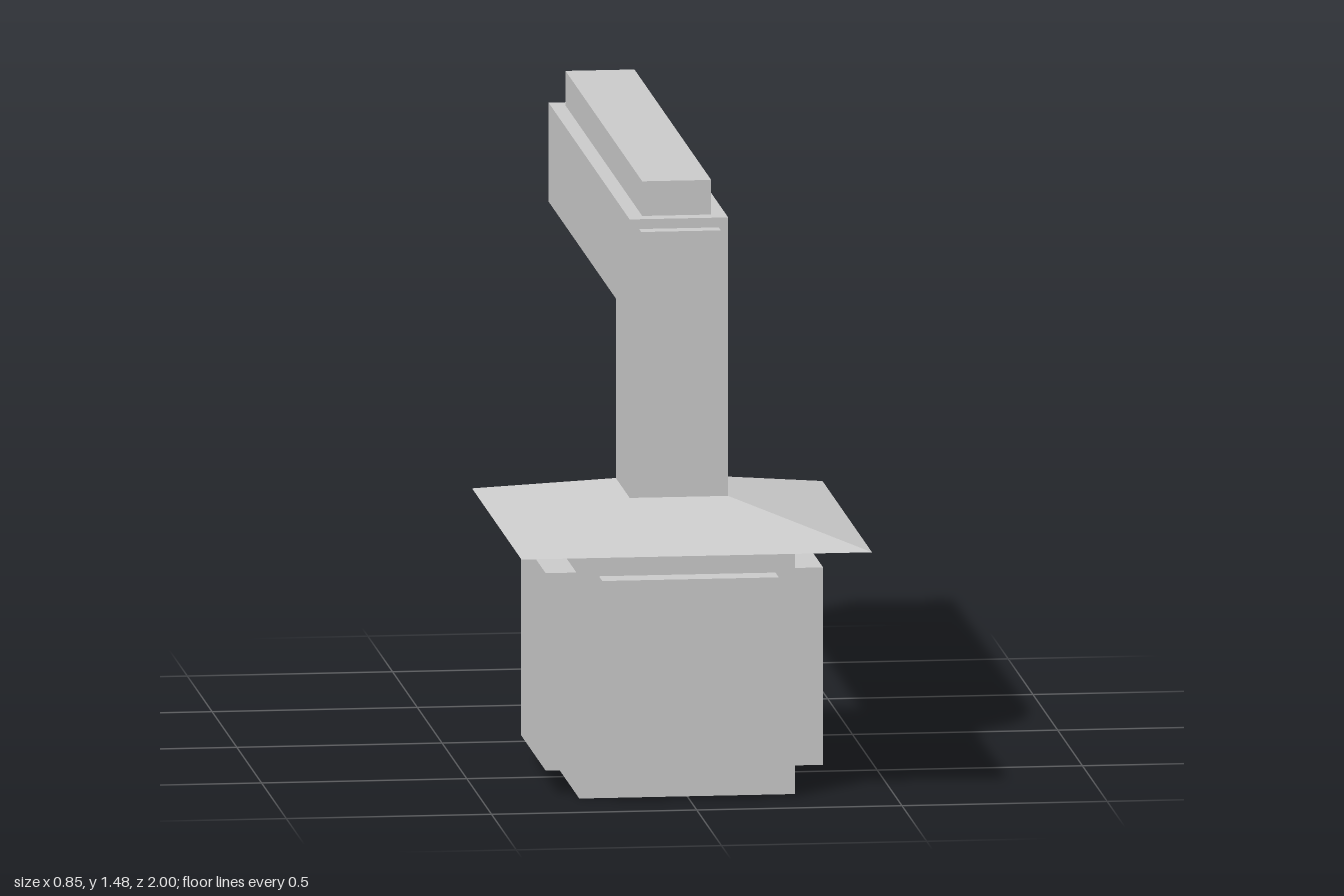
import * as THREE from 'three';

const grey = new THREE.MeshStandardMaterial({ color: 0xcccccc, flatShading: true });

// Box given by its limits on each axis
function box(name, [x0, x1], [y0, y1], [z0, z1]) {
  const mesh = new THREE.Mesh(new THREE.BoxGeometry(x1 - x0, y1 - y0, z1 - z0), grey);
  mesh.position.set((x0 + x1) / 2, (y0 + y1) / 2, (z0 + z1) / 2);
  mesh.name = name;
  return mesh;
}

// Skin through rectangles stacked upwards: [y, halfWidth, zBack, zFront]
function rectLoft(sections) {
  const pos = [], index = [];
  for (const [y, w, zb, zf] of sections) pos.push(-w, y, zf, w, y, zf, w, y, zb, -w, y, zb);
  for (let s = 0; s < sections.length - 1; s++) {
    for (let i = 0; i < 4; i++) {
      const a = s * 4 + i, b = s * 4 + (i + 1) % 4;
      index.push(a, b, b + 4, a, b + 4, a + 4);
    }
  }
  const t = (sections.length - 1) * 4;
  index.push(0, 2, 1, 0, 3, 2, t, t + 1, t + 2, t, t + 2, t + 3);
  const indexed = new THREE.BufferGeometry();
  indexed.setAttribute('position', new THREE.Float32BufferAttribute(pos, 3));
  indexed.setIndex(index);
  const geometry = indexed.toNonIndexed();
  geometry.computeVertexNormals();
  return geometry;
}

export function createModel() {
  const model = new THREE.Group();
  model.name = 'wallLantern';

  // Lantern body with a raised pane on each of its four sides
  const lantern = new THREE.Group();
  lantern.name = 'lantern';
  const paneY = [0.06, 0.545];
  lantern.add(
    box('lanternBody', [-0.263, 0.263], [0, 0.61], [0.195, 0.808]),
    box('frontPane', [-0.215, 0.215], paneY, [0.8, 0.875]),
    box('backPane', [-0.215, 0.215], paneY, [0.14, 0.2]),
    box('leftPane', [0.255, 0.338], paneY, [0.25, 0.75]),
    box('rightPane', [-0.338, -0.255], paneY, [0.25, 0.75])
  );

  // Sloped roof with a shallow tapered underside
  const roof = new THREE.Mesh(rectLoft([
    [0.603, 0.263, 0.195, 0.808],
    [0.624, 0.427, 0, 1],
    [0.706, 0.12, 0.36, 0.64]
  ]), grey);
  roof.name = 'roof';
  lantern.add(roof);
  model.add(lantern);

  // Bent arm: side profile (-z, y) extruded across x
  const profile = new THREE.Shape([
    [-0.64, 0.7], [-0.36, 0.7], [-0.36, 1.147], [1, 1.147], [1, 1.39], [-0.64, 1.39]
  ].map(([u, v]) => new THREE.Vector2(u, v)));
  const armGeometry = new THREE.ExtrudeGeometry(profile, { depth: 0.24, bevelEnabled: false });
  armGeometry.translate(0, 0, -0.12).rotateY(Math.PI / 2);
  const arm = new THREE.Mesh(armGeometry, grey);
  arm.name = 'bentArm';

  // Raised strips along the arm's top and front
  model.add(
    arm,
    box('armTopStrip', [-0.084, 0.084], [1.38, 1.475], [-0.955, 0.595]),
    box('armFrontStrip', [-0.097, 0.097], [0.732, 1.366], [0.63, 0.682])
  );
  return model;
}
